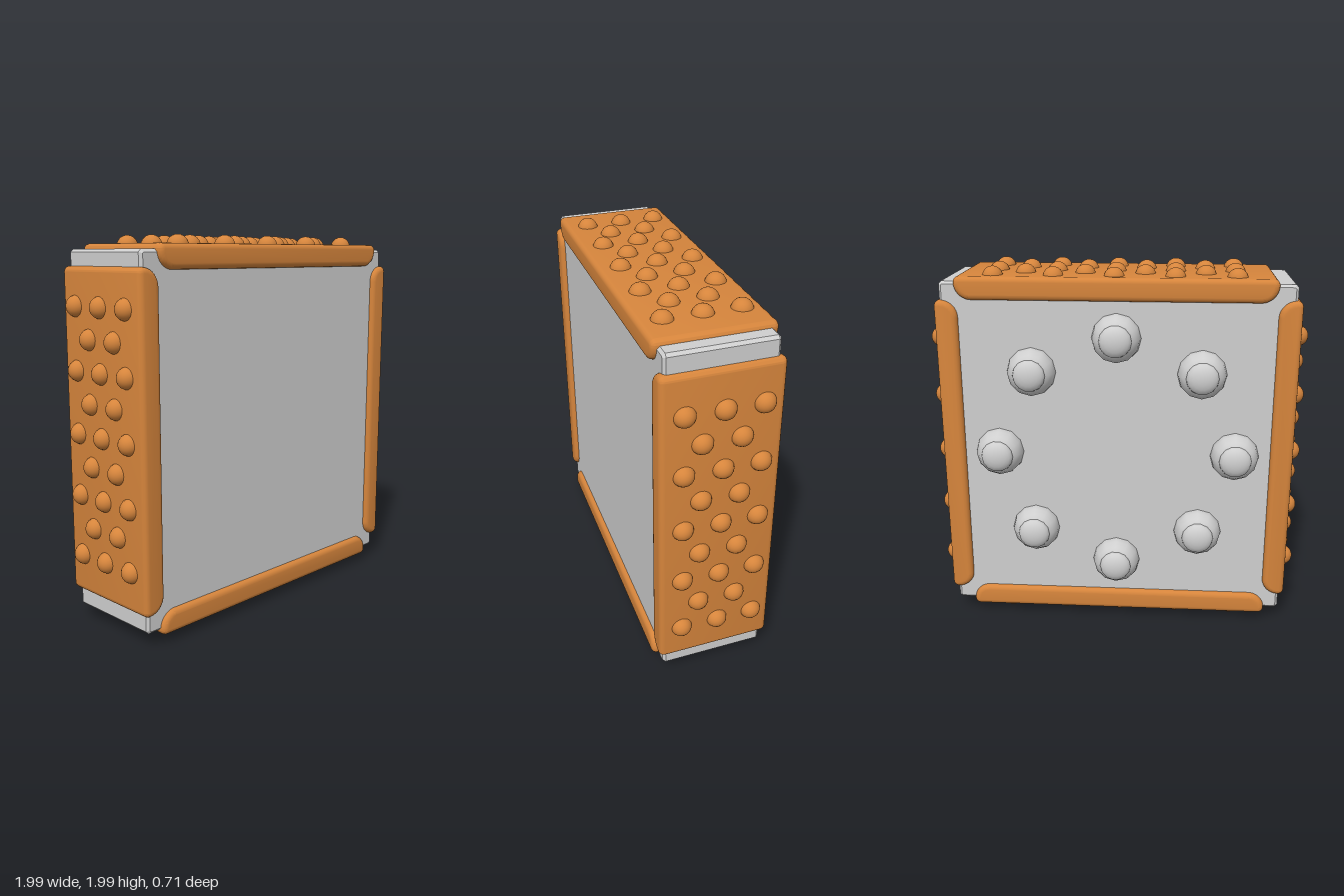
import * as THREE from 'three';
import { toCreasedNormals } from 'three/addons/utils/BufferGeometryUtils.js';

const CY = 1.004;   // centre height of the square block
const CZ = 0.053;   // centre depth of block and panels

const orange = new THREE.MeshStandardMaterial({ color: 0xd6853c });
orange.name = 'orange';
const grey = new THREE.MeshStandardMaterial({ color: 0xcfcfcf });
grey.name = 'light grey';

function add(parent, name, geometry, material, x = 0, y = 0, z = 0) {
  const mesh = new THREE.Mesh(geometry, material);
  mesh.name = name;
  mesh.position.set(x, y, z);
  parent.add(mesh);
  return mesh;
}

// Extrude a shape along z, centred, with bevels kept inside the given size
function bevelled(shape, depth, bevel, segments) {
  const g = new THREE.ExtrudeGeometry(shape, {
    depth: depth - 2 * bevel, bevelEnabled: true, bevelSize: bevel, bevelThickness: bevel,
    bevelOffset: -bevel, bevelSegments: segments, curveSegments: 8,
  });
  g.translate(0, 0, -(depth - 2 * bevel) / 2);
  return g;
}

// Square block with slightly chamfered edges
function blockGeometry() {
  const h = 0.926, c = 0.015;
  const s = new THREE.Shape();
  s.moveTo(-h + c, -h);
  s.lineTo(h - c, -h);
  s.lineTo(h, -h + c);
  s.lineTo(h, h - c);
  s.lineTo(h - c, h);
  s.lineTo(-h + c, h);
  s.lineTo(-h, h - c);
  s.lineTo(-h, -h + c);
  s.closePath();
  return bevelled(s, 0.55, 0.014, 1);
}

// Side panel: flat outside, strongly rounded corners on the inside
function panelGeometry() {
  const h = 0.837, y0 = 0.831, y1 = 0.953, r = 0.09, q = 0.031;
  const s = new THREE.Shape();
  s.moveTo(-h + r, y0);
  s.lineTo(h - r, y0);
  s.absarc(h - r, y0 + r, r, -Math.PI / 2, 0, false);
  s.absarc(h - q, y1 - q, q, 0, Math.PI / 2, false);
  s.absarc(-h + q, y1 - q, q, Math.PI / 2, Math.PI, false);
  s.absarc(-h + r, y0 + r, r, Math.PI, Math.PI * 1.5, false);
  return toCreasedNormals(bevelled(s, 0.603, 0.028, 4), 0.7);
}

export function createModel() {
  const model = new THREE.Group();
  model.name = 'studdedBlock';

  add(model, 'block', blockGeometry(), grey, 0, CY, CZ);

  // Four studded panels, each a quarter turn of the top one
  const panelGeo = panelGeometry();
  const studGeo = new THREE.SphereGeometry(0.055, 20, 12);
  for (let k = 0; k < 4; k++) {
    const side = new THREE.Group();
    side.name = ['top', 'left', 'bottom', 'right'][k] + 'Panel';
    side.position.set(0, CY, CZ);
    side.rotation.z = -k * Math.PI / 2;
    add(side, 'panel', panelGeo, orange, 0.008);
    // Nine staggered columns of three and two studs
    for (let c = 0; c < 9; c++) {
      const rows = c % 2 ? [-0.097, 0.097] : [-0.2, -0.009, 0.184];
      for (const z of rows) {
        add(side, 'stud', studGeo, orange, 0.016 + (c - 4) * 0.159, 0.942, z);
      }
    }
    model.add(side);
  }

  // Ring of eight stepped knobs on the back
  const baseGeo = new THREE.SphereGeometry(0.131, 12, 10);
  baseGeo.rotateX(-Math.PI / 2);
  baseGeo.scale(1, 1, 0.9);
  const capGeo = new THREE.SphereGeometry(0.086, 14, 10);
  capGeo.rotateX(-Math.PI / 2);
  capGeo.scale(1, 1, 0.52);
  for (let i = 0; i < 8; i++) {
    const a = i * Math.PI / 4;
    const knob = new THREE.Group();
    knob.name = 'backKnob';
    knob.position.set(0.64 * Math.cos(a), CY + 0.64 * Math.sin(a), -0.222);
    add(knob, 'knobBase', baseGeo, grey);
    add(knob, 'knobCap', capGeo, grey, 0, 0, -0.091);
    model.add(knob);
  }
  return model;
}
